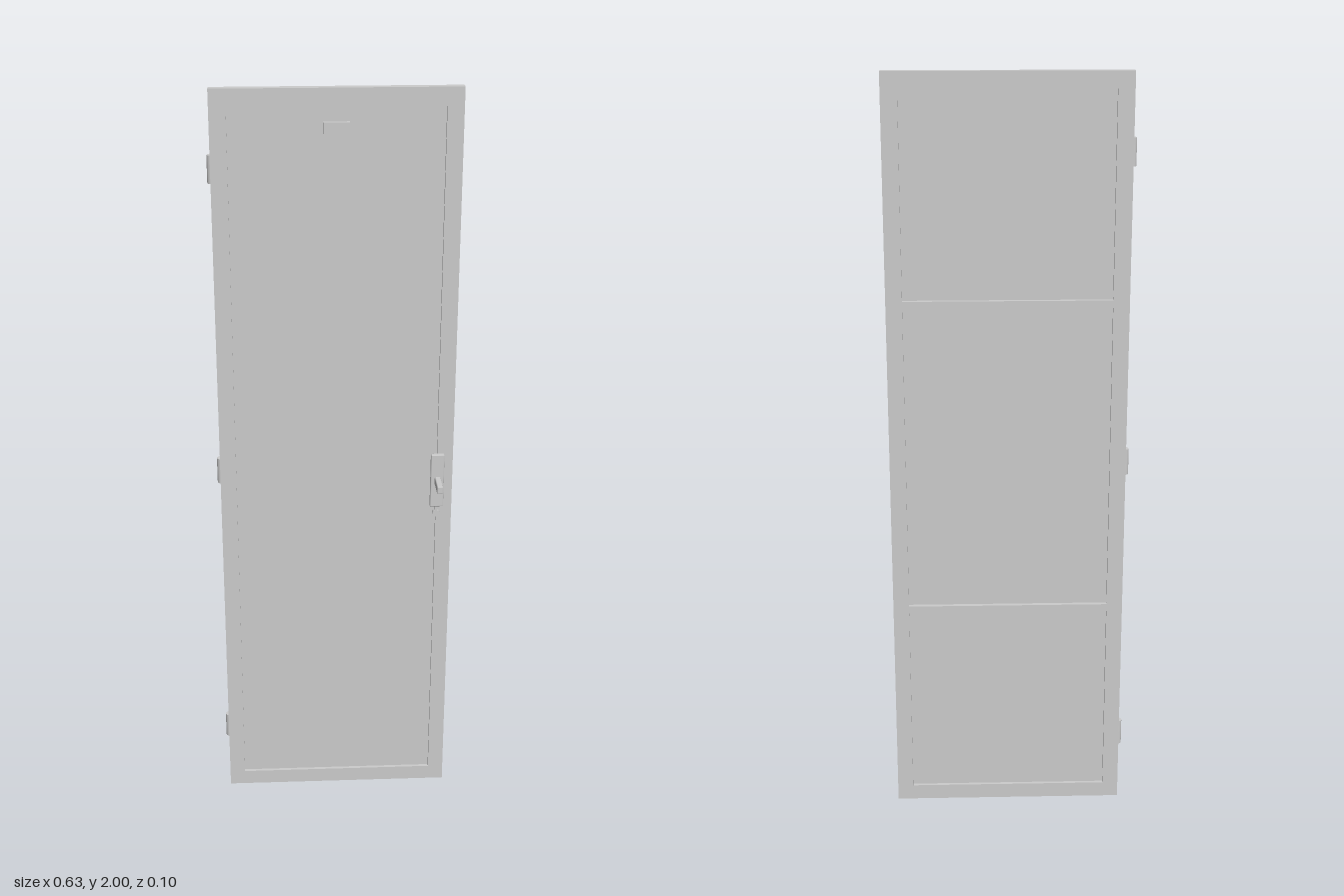
import * as THREE from 'three';
import { RoundedBoxGeometry } from 'three/addons/geometries/RoundedBoxGeometry.js';

export function createModel() {
  const door = new THREE.Group();
  door.name = 'door';
  const material = new THREE.MeshStandardMaterial({ color: 0xcccccc });

  function add(name, geometry, x = 0, y = 0, z = 0) {
    const mesh = new THREE.Mesh(geometry, material);
    mesh.name = name;
    mesh.position.set(x, y, z);
    door.add(mesh);
    return mesh;
  }
  // Box given by its limits on each axis, optionally with softened edges
  function box(name, [x0, x1], [y0, y1], [z0, z1], radius = 0) {
    const size = [x1 - x0, y1 - y0, z1 - z0];
    const geometry = radius ? new RoundedBoxGeometry(...size, 1, radius) : new THREE.BoxGeometry(...size);
    return add(name, geometry, (x0 + x1) / 2, (y0 + y1) / 2, (z0 + z1) / 2);
  }

  const left = -0.306, right = 0.312, stile = 0.042, rail = 0.042;
  const depth = [-0.048, -0.024], midZ = -0.036;

  // Frame: full-width rails with stiles between them
  box('bottomRail', [left, right], [0, rail], depth);
  box('topRail', [left, right], [2 - rail, 2], depth);
  box('hingeStile', [left, left + stile], [rail, 2 - rail], depth);
  box('latchStile', [right - stile, right], [rail, 2 - rail], depth);

  // Thin recessed panel with two stiffening bars on the back
  const inner = [left + stile, right - stile];
  box('panel', inner, [rail, 2 - rail], [midZ - 0.003, midZ + 0.003]);
  for (const y of [0.585, 1.425]) box('backBar', inner, [y - 0.01, y + 0.01], [-0.051, midZ]);

  // Hinge barrels
  for (const y of [0.2, 1, 1.805]) {
    add('hinge', new THREE.CylinderGeometry(0.0115, 0.0115, 0.07, 20), -0.3025, y, midZ);
  }

  // Small plate near the top
  box('namePlate', [-0.03, 0.035], [1.89, 1.918], [midZ, -0.02]);

  // Latch plate, straight handle and lock cylinder
  box('latchPlate', [0.253, 0.289], [0.888, 1.04], [-0.026, -0.014], 0.003);
  box('handle', [0.264, 0.28], [0.954, 0.976], [-0.016, 0.049], 0.003);
  const lock = add('lockCylinder', new THREE.CylinderGeometry(0.01, 0.01, 0.012, 20), 0.27, 0.868, -0.02);
  lock.rotation.x = Math.PI / 2;
  box('lockTab', [0.266, 0.274], [0.874, 0.888], [-0.026, -0.016]);

  return door;
}
